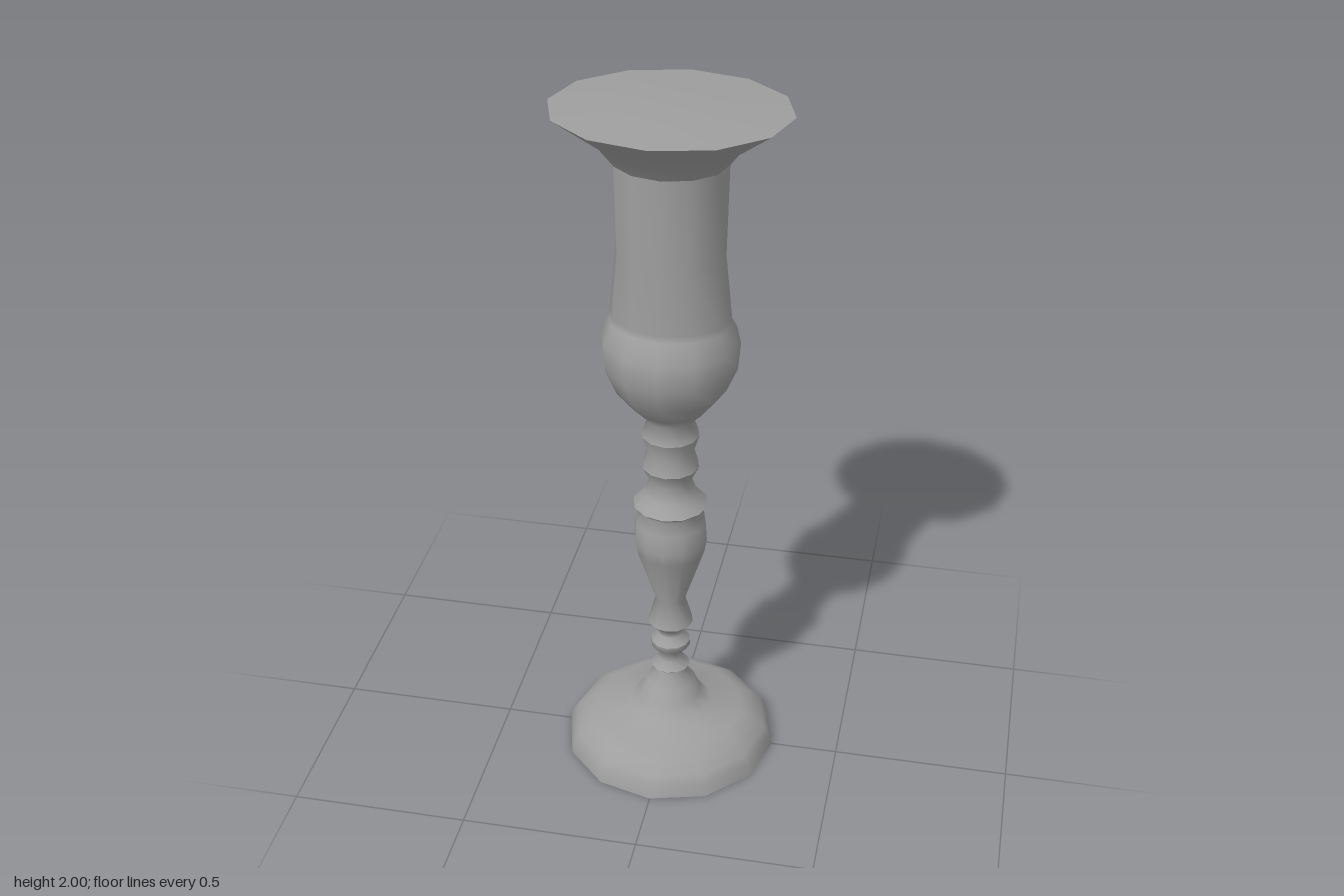
import * as THREE from 'three';
import { mergeVertices } from 'three/addons/utils/BufferGeometryUtils.js';

const SIDES = 12;
const material = new THREE.MeshStandardMaterial({ color: 0x9e9e9e, side: THREE.DoubleSide });

// Turned part from [radius in x, height, optional radius in z] rings, bottom to top
function turned(name, rings) {
  const lathe = new THREE.LatheGeometry(rings.map(([r, y]) => new THREE.Vector2(r, y)), SIDES);
  const pos = lathe.attributes.position;
  for (let i = 0; i < pos.count; i++) {
    const [rx, , rz = rx] = rings[i % rings.length];
    if (rx > 0) pos.setZ(i, pos.getZ(i) * rz / rx);
  }
  // Weld the seam so the shading runs smoothly round the part
  lathe.deleteAttribute('uv');
  lathe.deleteAttribute('normal');
  const geometry = mergeVertices(lathe, 1e-5);
  geometry.computeVertexNormals();
  const mesh = new THREE.Mesh(geometry, material);
  mesh.name = name;
  return mesh;
}

export function createModel() {
  const model = new THREE.Group();
  model.name = 'candlestick';
  model.add(
    // Hollow domed foot, open underneath, rising in a cone to the first bead
    turned('foot', [
      [0.308, 0], [0.3, 0.035], [0.283, 0.06], [0.25, 0.088], [0.215, 0.105], [0.12, 0.13],
      [0.09, 0.165], [0.07, 0.21], [0.036, 0.245], [0.056, 0.263]
    ]),

    // Thin neck with two beads
    turned('lowerNeck', [[0.056, 0.263], [0.036, 0.285], [0.036, 0.315], [0.057, 0.335], [0.057, 0.352]]),
    turned('upperNeck', [[0.057, 0.352], [0.036, 0.375], [0.038, 0.395], [0.065, 0.42]]),

    // Baluster with a sharp collar on top
    turned('baluster', [[0.065, 0.42], [0.042, 0.5], [0.097, 0.67], [0.104, 0.71], [0.1, 0.77], [0.082, 0.807], [0.105, 0.828]]),

    // Ringed stem under the cup
    turned('collar', [[0.105, 0.828], [0.075, 0.86], [0.058, 0.905], [0.08, 0.95]]),
    turned('stemRing', [[0.08, 0.95], [0.065, 1.0], [0.08, 1.05]]),

    // Cup with a round bowl and tall tube, slightly narrower front to back
    turned('cup', [
      [0.08, 1.05], [0.062, 1.1], [0.105, 1.142, 0.103], [0.152, 1.2, 0.148], [0.182, 1.27, 0.177],
      [0.189, 1.35, 0.177], [0.166, 1.4, 0.138], [0.164, 1.42, 0.137], [0.146, 1.6, 0.135], [0.152, 1.85, 0.132]
    ]),

    // Flared lip, closed by a faintly domed plate
    turned('lip', [[0.152, 1.85, 0.132], [0.19, 1.9, 0.17], [0.314, 1.988, 0.272]]),
    turned('topPlate', [[0.314, 1.988, 0.272], [0.16, 1.996, 0.138], [0, 2]])
  );
  return model;
}
